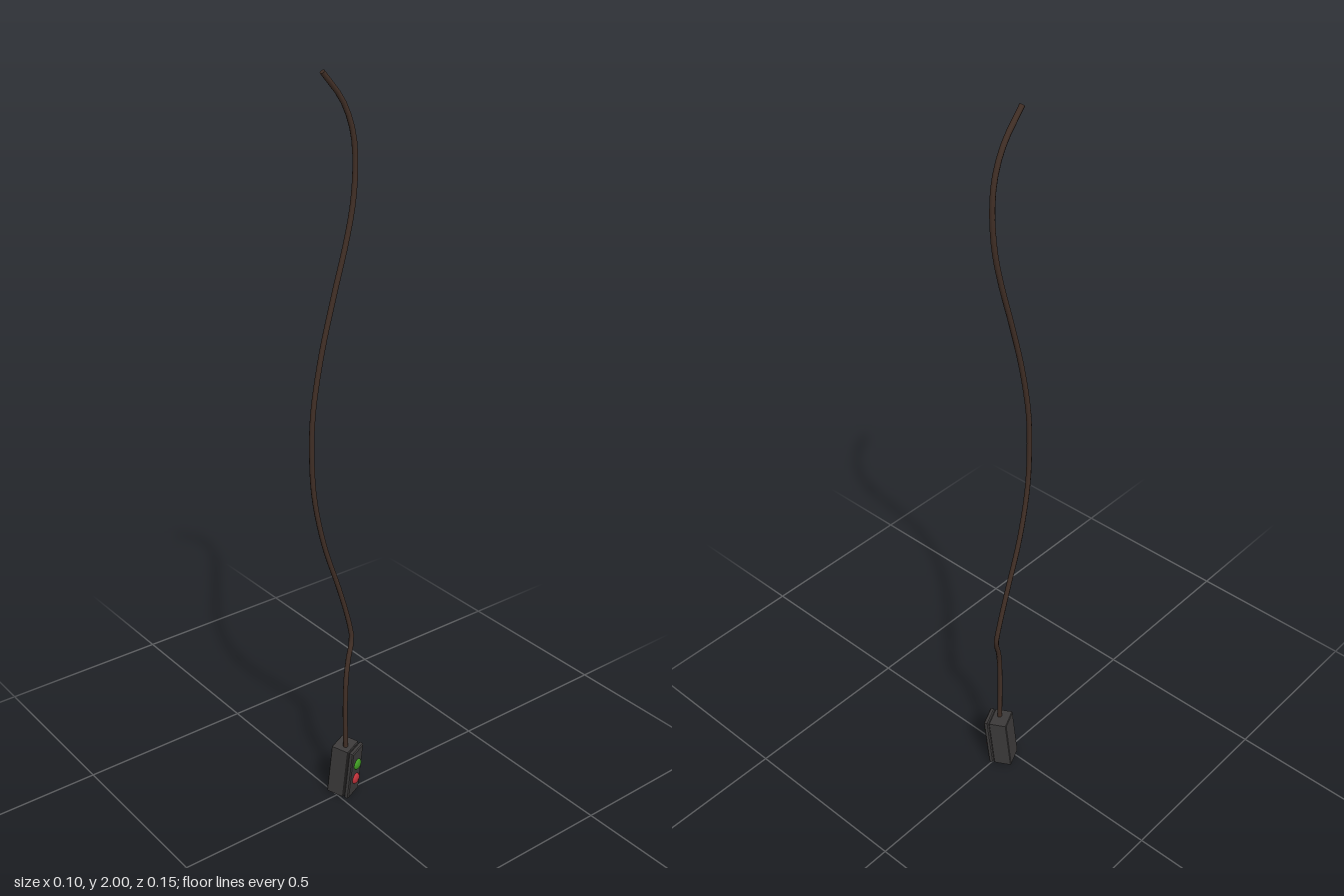
import * as THREE from 'three';

export function createModel() {
  const model = new THREE.Group();
  const paint = (name, color) => {
    const m = new THREE.MeshStandardMaterial({ color });
    m.name = name;
    return m;
  };
  const casing = paint('charcoal casing', 0x3d3b3b);
  const rubber = paint('brown cable', 0x412f26);
  const green = paint('green button', 0x3f9a22);
  const red = paint('red button', 0xc0323a);

  const add = (parent, name, geometry, material) => {
    const mesh = new THREE.Mesh(geometry, material);
    mesh.name = name;
    parent.add(mesh);
    return mesh;
  };

  // Block with chamfered edges; thickness runs along x
  const block = (thick, height, width, bevel) => {
    const h = height / 2 - bevel, w = width / 2 - bevel;
    const shape = new THREE.Shape([
      new THREE.Vector2(-w, -h), new THREE.Vector2(w, -h),
      new THREE.Vector2(w, h), new THREE.Vector2(-w, h),
    ]);
    return new THREE.ExtrudeGeometry(shape, {
      depth: thick - 2 * bevel, bevelEnabled: true,
      bevelSize: bevel, bevelThickness: bevel, bevelSegments: 1,
    }).translate(0, 0, bevel - thick / 2).rotateY(Math.PI / 2);
  };

  // Control box, turned and leaning a little
  const box = new THREE.Group();
  box.name = 'controlBox';
  box.position.set(-0.003, 0.082, -0.031);
  box.rotation.set(0, 0.42, -0.1);
  model.add(box);
  add(box, 'rearShell', block(0.052, 0.156, 0.062, 0.002), casing).position.x = -0.008;
  add(box, 'seam', new THREE.BoxGeometry(0.01, 0.15, 0.056), casing).position.x = 0.019;
  add(box, 'frontShell', block(0.014, 0.156, 0.062, 0.003), casing).position.x = 0.027;

  // Domed push buttons on the front shell
  const profile = [[0.016, 0], [0.016, 0.005], [0.012, 0.009], [0, 0.0105]]
    .map(([r, y]) => new THREE.Vector2(r, y));
  for (const [name, y, material] of [['upButton', 0.027, green], ['downButton', -0.024, red]]) {
    const button = add(box, name, new THREE.LatheGeometry(profile, 14), material);
    button.rotation.z = -Math.PI / 2;
    button.position.set(0.033, y, 0);
  }

  // Hanging cable, from the box to its upper end
  const path = [
    [0.005, 0.155, -0.026], [0.004, 0.3, -0.025], [0.001, 0.39, -0.031],
    [-0.007, 0.44, -0.045], [-0.016, 0.485, -0.062], [-0.02, 0.55, -0.052],
    [-0.021, 0.65, -0.023], [-0.019, 0.8, 0.028], [-0.016, 0.95, 0.061],
    [-0.014, 1.08, 0.069], [-0.014, 1.18, 0.064], [-0.014, 1.32, 0.039],
    [-0.015, 1.46, 0.001], [-0.016, 1.59, -0.038], [-0.017, 1.68, -0.059],
    [-0.018, 1.77, -0.067], [-0.018, 1.85, -0.06], [-0.019, 1.925, -0.031],
    [-0.02, 1.996, 0.027],
  ].map((p) => new THREE.Vector3(...p));
  const curve = new THREE.CatmullRomCurve3(path, false, 'centripetal');
  add(model, 'cable', new THREE.TubeGeometry(curve, 60, 0.0068, 8), rubber);

  // Flat caps closing both cable ends
  for (const t of [0, 1]) {
    const cap = add(model, 'cableEnd', new THREE.CircleGeometry(0.0068, 8), rubber);
    const outward = curve.getTangentAt(t).multiplyScalar(t ? 1 : -1);
    cap.position.copy(curve.getPointAt(t));
    cap.quaternion.setFromUnitVectors(new THREE.Vector3(0, 0, 1), outward);
  }
  return model;
}
